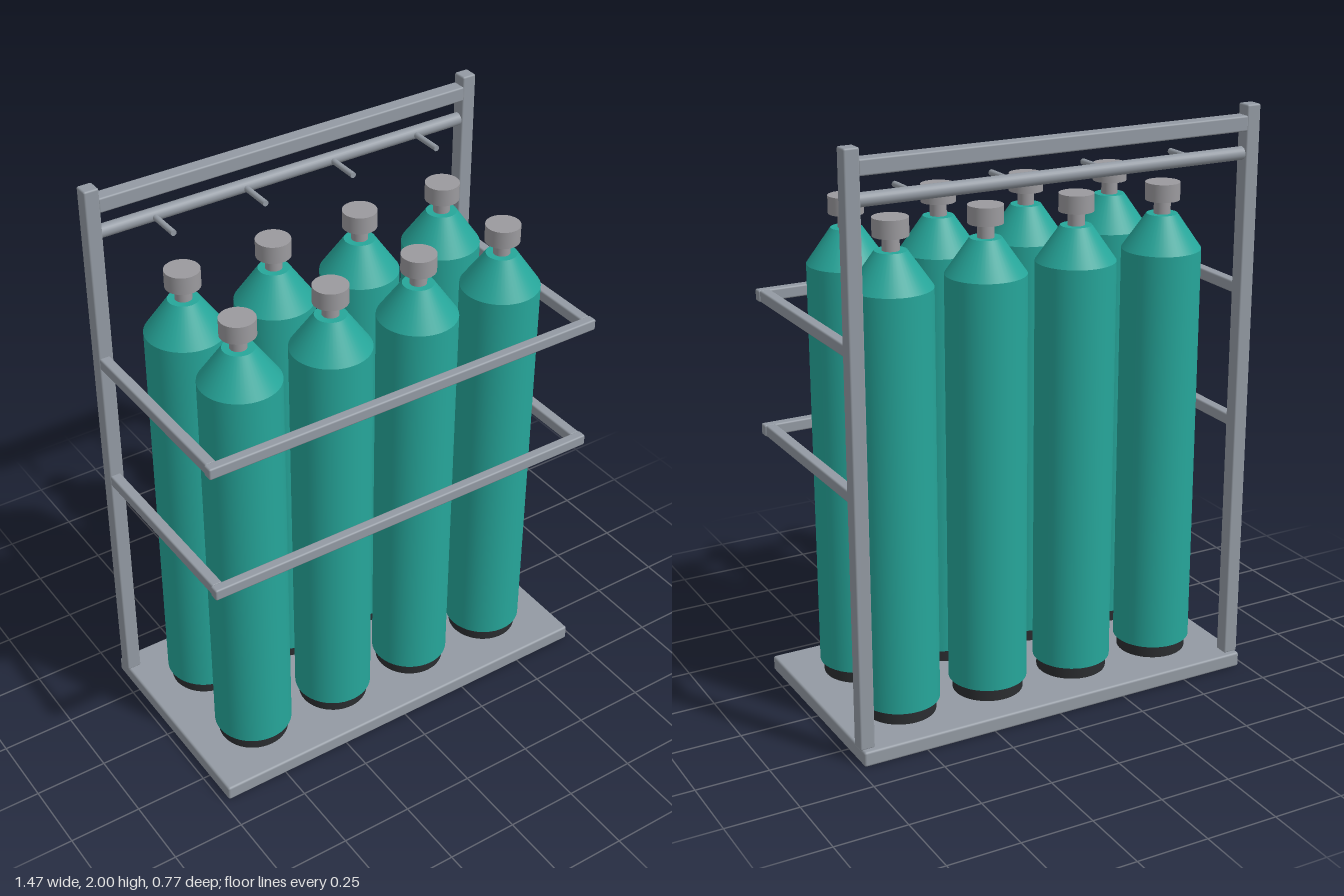
import * as THREE from 'three';
import { RoundedBoxGeometry } from 'three/addons/geometries/RoundedBoxGeometry.js';

export function createModel() {
  const model = new THREE.Group();
  model.name = 'gasCylinderRack';

  const material = (name, color) => {
    const m = new THREE.MeshStandardMaterial({ color });
    m.name = name;
    return m;
  };
  const steel = material('frameSteel', 0x939aa3);
  const teal = material('tealPaint', 0x26a69a);
  const valveMetal = material('valveMetal', 0x9b9a9e);
  const rubber = material('darkRubber', 0x2b2d30);

  const add = (parent, name, geometry, mat, x, y, z) => {
    const mesh = new THREE.Mesh(geometry, mat);
    mesh.name = name;
    mesh.position.set(x, y, z);
    parent.add(mesh);
    return mesh;
  };

  // Bar with softened edges, given by its minimum and maximum corners
  const bar = (parent, name, [x0, y0, z0], [x1, y1, z1], bevel = 0.006) =>
    add(parent, name, new RoundedBoxGeometry(x1 - x0, y1 - y0, z1 - z0, 2, bevel), steel,
      (x0 + x1) / 2, (y0 + y1) / 2, (z0 + z1) / 2);

  const columns = [-0.495, -0.165, 0.165, 0.495];

  // Frame: base plate, rear posts and top beam
  const frame = new THREE.Group();
  frame.name = 'frame';
  model.add(frame);
  bar(frame, 'basePlate', [-0.727, 0, -0.385], [0.727, 0.053, 0.385], 0.008);
  bar(frame, 'leftPost', [0.68, 0.05, -0.364], [0.731, 2, -0.313]);
  bar(frame, 'rightPost', [-0.731, 0.05, -0.364], [-0.68, 2, -0.313]);
  bar(frame, 'topBeam', [-0.685, 1.914, -0.364], [0.685, 1.965, -0.313]);

  // Hose rod with one peg above each column
  const rod = add(frame, 'hoseRod', new THREE.CylinderGeometry(0.022, 0.022, 1.37, 24), steel, 0, 1.84, -0.338);
  rod.rotation.z = Math.PI / 2;
  for (const x of columns) {
    const peg = add(frame, 'hosePeg', new THREE.CylinderGeometry(0.01, 0.01, 0.135, 16), steel, x, 1.84, -0.27);
    peg.rotation.x = Math.PI / 2;
  }

  // Two guard rails wrapping the front and both sides
  for (const y of [0.91, 1.38]) {
    const rail = new THREE.Group();
    rail.name = 'guardRail';
    frame.add(rail);
    const lo = y - 0.02, hi = y + 0.02;
    bar(rail, 'frontRail', [-0.733, lo, 0.347], [0.733, hi, 0.381]);
    bar(rail, 'leftRail', [0.692, lo, -0.318], [0.729, hi, 0.352]);
    bar(rail, 'rightRail', [-0.729, lo, -0.318], [-0.692, hi, 0.352]);
  }

  // Cylinder parts, listed from the floor up: name, bottom radius, top radius, bottom y, top y
  const parts = [
    ['footRing', 0.12, 0.12, 0.052, 0.1, rubber],
    ['tankBody', 0.133, 0.133, 0.098, 1.51, teal],
    ['tankShoulder', 0.133, 0.052, 1.51, 1.627, teal],
    ['valveNeck', 0.028, 0.028, 1.625, 1.675, valveMetal],
    ['valveCap', 0.058, 0.058, 1.673, 1.732, valveMetal],
  ].map(([name, rb, rt, y0, y1, mat]) => ({
    name, mat, y: (y0 + y1) / 2, geometry: new THREE.CylinderGeometry(rt, rb, y1 - y0, 48),
  }));

  // Two rows of four tanks
  for (const z of [-0.165, 0.165]) {
    for (const x of columns) {
      const tank = new THREE.Group();
      tank.name = 'gasTank';
      tank.position.set(x, 0, z);
      for (const p of parts) add(tank, p.name, p.geometry, p.mat, 0, p.y, 0);
      model.add(tank);
    }
  }

  return model;
}
